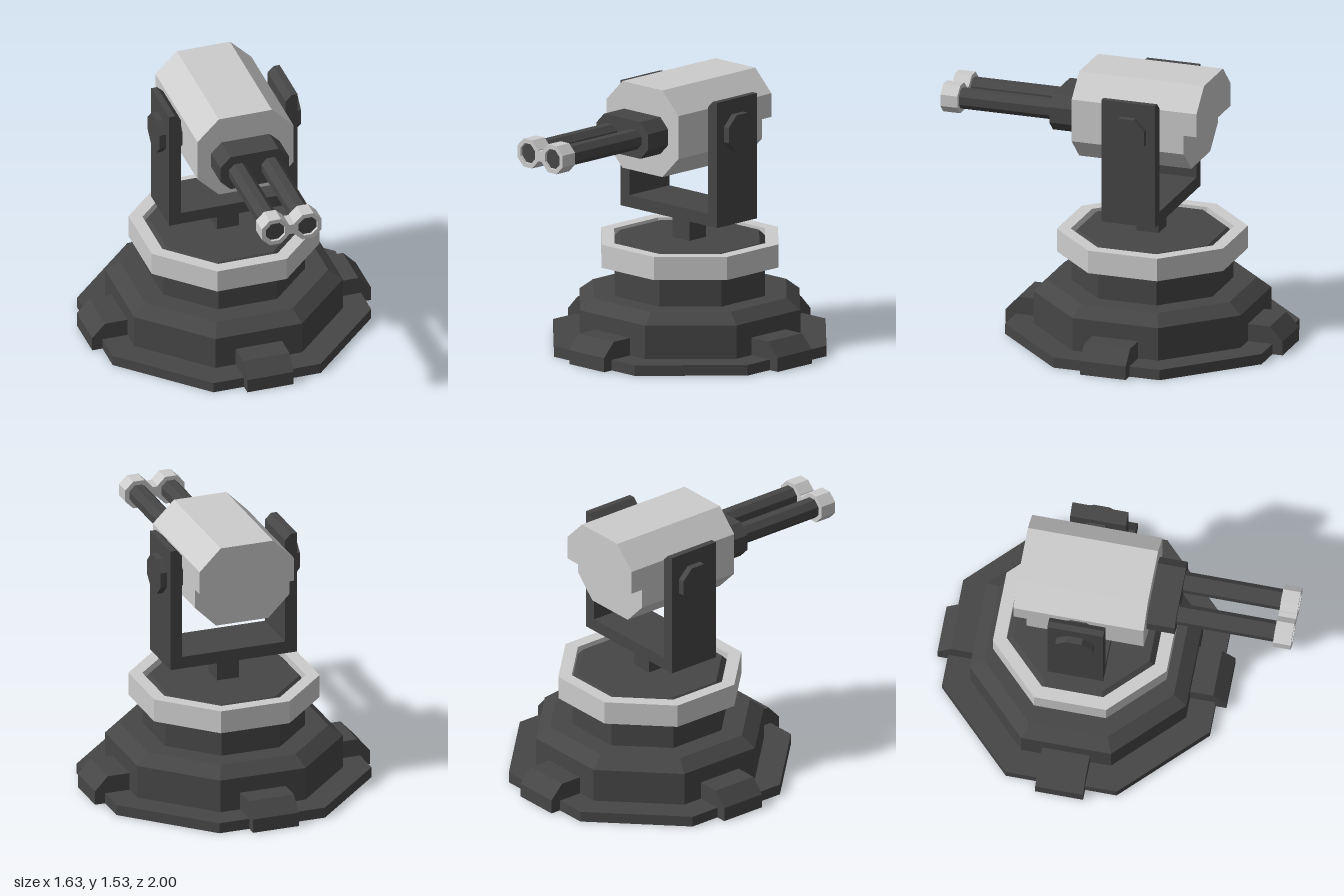
import * as THREE from 'three';

const dark = new THREE.MeshStandardMaterial({ name: 'darkGrey', color: 0x464646, flatShading: true });
const light = new THREE.MeshStandardMaterial({ name: 'lightGrey', color: 0xcccccc, flatShading: true });

const BASE_Z = -0.185;   // turning axis of the base and yoke
const GUN_Y = 1.275;     // height of the tilt axis
const C = Math.cos(Math.PI / 8);

export function createModel() {
  const model = new THREE.Group();
  model.name = 'turret';

  const add = (name, geometry, material, x = 0, y = 0, z = 0, parent = model) => {
    const mesh = new THREE.Mesh(geometry, material);
    mesh.name = name;
    mesh.position.set(x, y, z);
    parent.add(mesh);
    return mesh;
  };

  // Eight-sided turned form; points are [distance to the flat side, height]
  const octLathe = (points) => new THREE.LatheGeometry(
    points.map(([a, y]) => new THREE.Vector2(a / C, y)), 8, Math.PI / 8);

  // Polygon in x/y extruded along +z
  const prism = (points, depth, holes = []) => {
    const shape = new THREE.Shape(points.map(([x, y]) => new THREE.Vector2(x, y)));
    for (const h of holes) shape.holes.push(new THREE.Path(h.map(([x, y]) => new THREE.Vector2(x, y))));
    return new THREE.ExtrudeGeometry(shape, { depth, bevelEnabled: false });
  };

  // Rectangle with cut corners, given by half sizes and cut
  const cutRect = (w, h, c) => [
    [w, -h + c], [w, h - c], [w - c, h], [-w + c, h],
    [-w, h - c], [-w, -h + c], [-w + c, -h], [w - c, -h]];
  const octagon = (a) => cutRect(a, a, a * (2 - Math.SQRT2));

  // Stepped base
  const base = new THREE.Group();
  base.name = 'base';
  base.position.z = BASE_Z;
  model.add(base);
  add('groundPlate', octLathe([[0, 0], [0.755, 0], [0.755, 0.06], [0, 0.06]]), dark, 0, 0, 0, base);
  add('pedestal', octLathe([[0.61, 0.06], [0.61, 0.25], [0.535, 0.31], [0, 0.31]]), dark, 0, 0, 0, base);
  add('neck', octLathe([[0.415, 0.31], [0.415, 0.5]]), dark, 0, 0, 0, base);
  add('collar', octLathe([[0.38, 0.48], [0.49, 0.48], [0.49, 0.612], [0.418, 0.612], [0.418, 0.57]]), light, 0, 0, 0, base);
  add('turntable', octLathe([[0.418, 0.57], [0.385, 0.606], [0, 0.606]]), dark, 0, 0, 0, base);

  // Four feet with sloped outer ends
  for (let i = 0; i < 4; i++) {
    const foot = prism([[0.5, 0], [0.815, 0], [0.815, 0.08], [0.74, 0.16], [0.5, 0.16]], 0.27);
    foot.translate(0, 0, -0.135);
    add('foot', foot, dark, 0, 0, 0, base).rotation.y = i * Math.PI / 2;
  }

  // Post and fork-shaped yoke
  add('post', new THREE.BoxGeometry(0.13, 0.16, 0.13), dark, 0, 0.68, -0.18);
  add('yoke', prism([
    [-0.375, 0.75], [0.375, 0.75], [0.375, 1.465], [0.34, 1.465], [0.305, 1.43], [0.305, 0.82],
    [-0.305, 0.82], [-0.305, 1.43], [-0.34, 1.465], [-0.375, 1.465]], 0.315), dark, 0, 0, -0.335);

  // Pivots through the yoke arms
  for (const side of [-1, 1]) {
    const pivot = prism(octagon(0.105), 0.15);
    pivot.translate(0, 0, -0.075);
    add('pivot', pivot, dark, side * 0.338, GUN_Y, -0.178).rotation.y = Math.PI / 2;
  }

  // Gun housing, its upper half overhanging at the back
  const housing = [
    [0.28, GUN_Y], [0.28, 1.41], [0.155, 1.535], [-0.155, 1.535], [-0.28, 1.41], [-0.28, GUN_Y]];
  add('housing', prism([...housing, [-0.28, 1.165], [-0.155, 1.04], [0.155, 1.04], [0.28, 1.165]], 0.66),
    light, 0, 0, -0.47);
  add('rearOverhang', prism(housing, 0.075), light, 0, 0, -0.545);
  add('barrelMount', prism(cutRect(0.2, 0.105, 0.06), 0.165), dark, 0, GUN_Y, 0.185);

  // Twin barrels with ring muzzles
  for (const side of [-1, 1]) {
    add('barrel', prism(octagon(0.055), 0.645), dark, side * 0.095, GUN_Y, 0.34);
    add('muzzle', prism(octagon(0.08), 0.1, [octagon(0.056)]), light, side * 0.095, GUN_Y, 0.9);
  }
  add('muzzleBridge', new THREE.BoxGeometry(0.034, 0.06, 0.1), light, 0, GUN_Y, 0.95);

  return model;
}
